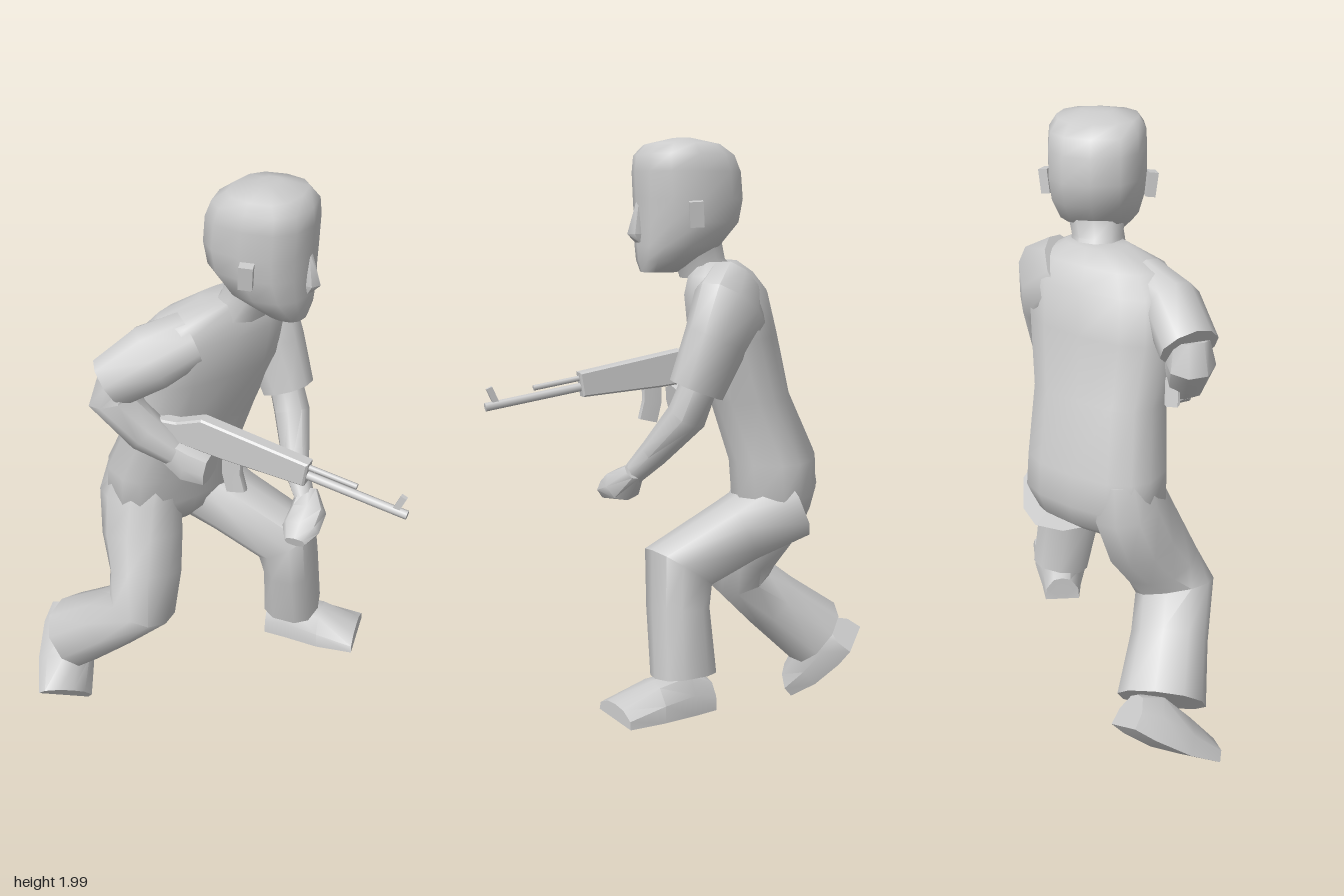
import * as THREE from 'three';
import { toCreasedNormals } from 'three/addons/utils/BufferGeometryUtils.js';

const mat = new THREE.MeshStandardMaterial({ color: 0xcccccc, side: THREE.DoubleSide });
const V = (p) => new THREE.Vector3(...p);
const UP = [0, 1, 0];

function add(group, name, geo, pos = [0, 0, 0], rot = [0, 0, 0]) {
  const m = new THREE.Mesh(geo, mat);
  m.name = name;
  m.position.set(...pos);
  m.rotation.set(...rot);
  group.add(m);
}

// Rounded outline; power below 1 makes it squarer
function oval(n, power = 0.9) {
  const bend = (v) => Math.sign(v) * Math.abs(v) ** power;
  return Array.from({ length: n }, (_, i) => {
    const t = (i / n) * Math.PI * 2;
    return [bend(Math.cos(t)), bend(Math.sin(t))];
  });
}

// Flat-soled outline for shoes
const SOLE = [[1, 0], [0.92, 0.5], [0.5, 0.95], [0, 1], [0, -1], [0.5, -0.95], [0.92, -0.5]];

// Skin over sections [x, y, z, halfDepth, halfWidth]; width lies along side.
// Sections stand square to the path, or to a fixed axis when one is given.
function loft(secs, side, outline = oval(10), axis = null, crease = 0.95) {
  const c = secs.map((s) => V(s.slice(0, 3)));
  const n = outline.length, last = secs.length - 1;
  const pos = [], idx = [];
  secs.forEach((s, k) => {
    const d0 = c[Math.min(k + 1, last)].clone().sub(c[Math.min(k, last - 1)]).normalize();
    const d1 = c[Math.max(k, 1)].clone().sub(c[Math.max(k - 1, 0)]).normalize();
    const T = axis ? V(axis) : d0.add(d1).normalize();
    const B = V(side).addScaledVector(T, -V(side).dot(T)).normalize();
    const A = T.clone().cross(B);
    outline.forEach(([a, b]) => {
      const p = c[k].clone().addScaledVector(A, a * s[3]).addScaledVector(B, b * (s[4] ?? s[3]));
      pos.push(p.x, p.y, p.z);
    });
  });
  for (let k = 0; k < last; k++) {
    for (let i = 0; i < n; i++) {
      const a = k * n + i, b = k * n + ((i + 1) % n);
      idx.push(a, a + n, b, b, a + n, b + n);
    }
  }
  // End caps
  pos.push(...c[0].toArray(), ...c[last].toArray());
  const e = (last + 1) * n;
  for (let i = 0; i < n; i++) {
    const j = (i + 1) % n;
    idx.push(e, i, j, e + 1, last * n + j, last * n + i);
  }
  const g = new THREE.BufferGeometry();
  g.setAttribute('position', new THREE.Float32BufferAttribute(pos, 3));
  g.setIndex(idx);
  return toCreasedNormals(g, crease);
}

function buildHead() {
  const head = new THREE.Group();
  head.name = 'head';
  const z = -0.08;
  add(head, 'skull', loft([
    [0.165, 1.6, z, 0.055, 0.055], [0.145, 1.635, z, 0.085, 0.09],
    [0.105, 1.68, z, 0.128, 0.123], [0.075, 1.75, z, 0.158, 0.143],
    [0.07, 1.82, z, 0.166, 0.15], [0.075, 1.9, z, 0.164, 0.15],
    [0.083, 1.95, z, 0.15, 0.146], [0.09, 1.982, z, 0.11, 0.125], [0.09, 2, z, 0.03, 0.05],
  ], [0, 0, -1], oval(12, 0.8), UP));
  add(head, 'neck', loft([[-0.01, 1.58, -0.07, 0.1, 0.09], [0.03, 1.64, -0.075, 0.08], [0.055, 1.7, z, 0.09]],
    [0, 0, -1], oval(10), UP));
  add(head, 'nose', loft([[0.225, 1.82, z, 0.008, 0.012], [0.23, 1.715, z, 0.035, 0.028], [0.225, 1.69, z, 0.015, 0.02]],
    [0, 0, -1], oval(6, 1), UP));
  for (const s of [1, -1]) {
    add(head, 'ear', new THREE.BoxGeometry(0.042, 0.075, 0.03), [0.1, 1.775, z + s * 0.16], [s * 0.15, s * 0.3, -0.1]);
  }
  return head;
}

function buildRifle() {
  const rifle = new THREE.Group();
  rifle.name = 'rifle';
  // Stock and receiver side profile
  const body = new THREE.Shape([
    [-0.24, -0.1], [-0.23, -0.02], [-0.08, 0.015], [0, 0.06], [0.35, 0.052],
    [0.35, -0.018], [0.08, -0.04], [-0.06, -0.045],
  ].map((p) => new THREE.Vector2(...p)));
  add(rifle, 'receiver', new THREE.ExtrudeGeometry(body, {
    depth: 0.034, bevelEnabled: true, bevelSize: 0.006, bevelThickness: 0.006, bevelSegments: 1,
  }), [0, 0, -0.017]);
  const rod = (name, r, x0, x1, y) =>
    add(rifle, name, new THREE.CylinderGeometry(r, r, x1 - x0, 8), [(x0 + x1) / 2, y, 0], [0, 0, Math.PI / 2]);
  rod('barrel', 0.014, 0.34, 0.675, 0.008);
  rod('gasTube', 0.009, 0.34, 0.51, 0.037);
  add(rifle, 'frontSight', new THREE.BoxGeometry(0.02, 0.055, 0.014), [0.645, 0.04, 0], [0, 0, -0.25]);
  add(rifle, 'magazine', loft([[0.11, -0.02, 0, 0.035, 0.014], [0.12, -0.09, 0, 0.035, 0.014], [0.145, -0.15, 0, 0.035, 0.014]],
    [0, 0, 1], oval(8, 0.4)));
  add(rifle, 'grip', new THREE.BoxGeometry(0.035, 0.1, 0.03), [-0.03, -0.08, 0], [0, 0, -0.3]);
  rifle.position.set(0, 1.265, 0.174);
  rifle.rotation.set(0, 0.03, -0.15);
  return rifle;
}

export function createModel() {
  const model = new THREE.Group();
  model.name = 'runningSoldier';
  const turned = [0.45, 0, -0.89];

  // Twisted trunk, leaning forward
  add(model, 'torso', loft([
    [-0.23, 0.76, -0.06, 0.06, 0.12], [-0.24, 0.82, -0.06, 0.12, 0.2],
    [-0.24, 0.89, -0.055, 0.14, 0.235], [-0.235, 1.0, -0.05, 0.142, 0.23],
    [-0.155, 1.2, -0.05, 0.128, 0.22], [-0.1, 1.4, -0.04, 0.14, 0.25],
    [-0.075, 1.53, -0.045, 0.13, 0.25], [-0.055, 1.59, -0.05, 0.1, 0.21],
    [-0.03, 1.63, -0.07, 0.065, 0.1],
  ], turned, oval(14, 0.75), UP));
  model.add(buildHead());

  // Legs: right pushes off behind, left is raised in front
  add(model, 'rightTrouserLeg', loft([
    [-0.29, 0.98, 0.05, 0.13, 0.09], [-0.3, 0.88, 0.06, 0.145, 0.115],
    [-0.275, 0.75, 0.1, 0.14, 0.125], [-0.237, 0.63, 0.15, 0.11, 0.13],
    [-0.225, 0.525, 0.2, 0.11, 0.13], [-0.35, 0.41, 0.195, 0.11, 0.125],
    [-0.51, 0.28, 0.185, 0.128, 0.142],
  ], [0.2, 0, -1]));
  add(model, 'leftTrouserLeg', loft([
    [-0.24, 0.86, -0.16, 0.12, 0.13], [-0.06, 0.78, -0.165, 0.1, 0.12],
    [0.14, 0.685, -0.18, 0.112, 0.11], [0.15, 0.56, -0.2, 0.088, 0.11],
    [0.145, 0.35, -0.235, 0.098, 0.1],
  ], [-0.1, 0, -1], oval(10, 0.75)));
  add(model, 'rightShoe', loft([
    [-0.63, 0.265, 0.075, 0.11, 0.065], [-0.615, 0.215, 0.125, 0.15, 0.085],
    [-0.57, 0.125, 0.22, 0.125, 0.1], [-0.515, 0.055, 0.31, 0.075, 0.1],
  ], [0.14, -0.11, -0.12], SOLE, null, 0.75));
  add(model, 'leftShoe', loft([
    [0.06, 0.23, -0.22, 0.09, 0.06], [0.14, 0.232, -0.235, 0.13, 0.07],
    [0.26, 0.242, -0.255, 0.105, 0.095], [0.385, 0.25, -0.28, 0.048, 0.1],
  ], [-0.2, 0, -1], SOLE, null, 0.75));

  // Left arm swings forward and across
  const ahead = [-0.3, 0, -1];
  add(model, 'leftSleeve', loft([
    [-0.05, 1.56, -0.17, 0.1, 0.07], [-0.01, 1.5, -0.235, 0.13, 0.085],
    [0.04, 1.4, -0.245, 0.105, 0.08], [0.1, 1.25, -0.235, 0.088, 0.075],
  ], ahead));
  add(model, 'leftForearm', loft([
    [0.08, 1.3, -0.24, 0.055], [0.125, 1.17, -0.22, 0.06], [0.195, 1.04, -0.11, 0.045], [0.25, 0.965, -0.06, 0.034],
  ], ahead, oval(8)));
  add(model, 'leftHand', loft([
    [0.25, 0.98, -0.08, 0.035, 0.03], [0.275, 0.93, -0.035, 0.06, 0.055],
    [0.28, 0.905, 0.03, 0.062, 0.035], [0.285, 0.89, 0.085, 0.035, 0.018],
  ], UP, oval(8, 0.8)));

  // Right arm bent back, holding the rifle
  add(model, 'rightSleeve', loft([
    [-0.09, 1.53, 0.08, 0.09, 0.08], [-0.17, 1.49, 0.17, 0.105, 0.09], [-0.28, 1.405, 0.23, 0.085, 0.09],
  ], [0.4, 0.7, 0.5]));
  add(model, 'rightForearm', loft([
    [-0.26, 1.42, 0.23, 0.06], [-0.275, 1.355, 0.235, 0.075], [-0.17, 1.25, 0.215, 0.065], [-0.075, 1.18, 0.185, 0.045],
  ], [0, 0, 1], oval(8)));
  add(model, 'rightHand', loft([
    [-0.1, 1.19, 0.185, 0.05, 0.045], [-0.04, 1.165, 0.175, 0.065, 0.065], [0.03, 1.155, 0.17, 0.055, 0.06],
  ], [0, 0, 1], oval(8, 0.7)));
  model.add(buildRifle());
  return model;
}
